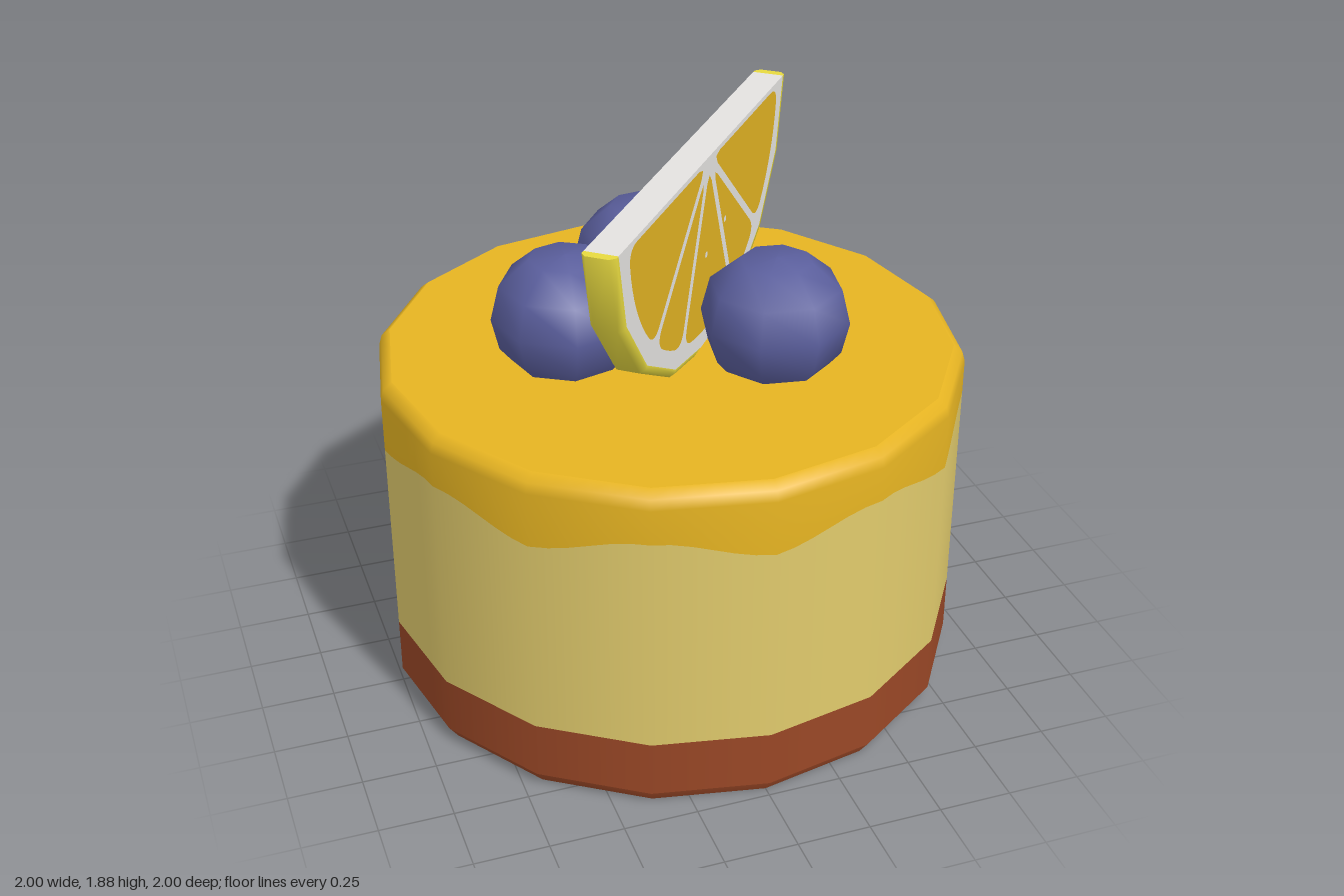
import * as THREE from 'three';

const paint = (name, color) => {
  const m = new THREE.MeshStandardMaterial({ color });
  m.name = name;
  return m;
};

function addMesh(parent, name, geometry, material) {
  const mesh = new THREE.Mesh(geometry, material);
  mesh.name = name;
  parent.add(mesh);
  return mesh;
}

// Wall on a 16-sided plan with smooth normals; rows are [radius, height(angle), normal tilt]
const SIDES = 16, SUB = 6;
function band(rows) {
  const pos = [], nor = [], idx = [];
  const count = SIDES * SUB;
  rows.forEach(([radius, height, tilt]) => {
    for (let i = 0; i <= count; i++) {
      const side = Math.floor(i / SUB), t = (i % SUB) / SUB;
      const a = side / SIDES * Math.PI * 2, b = (side + 1) / SIDES * Math.PI * 2;
      const x = THREE.MathUtils.lerp(Math.sin(a), Math.sin(b), t);
      const z = THREE.MathUtils.lerp(Math.cos(a), Math.cos(b), t);
      pos.push(x * radius, height(Math.atan2(x, z)), z * radius);
      const n = new THREE.Vector3(x, 0, z).setLength(Math.cos(tilt));
      nor.push(n.x, Math.sin(tilt), n.z);
    }
  });
  for (let j = 0; j < rows.length - 1; j++) {
    for (let i = 0; i < count; i++) {
      const a = j * (count + 1) + i, d = a + count + 1;
      idx.push(a, a + 1, d + 1, a, d + 1, d);
    }
  }
  const g = new THREE.BufferGeometry();
  g.setAttribute('position', new THREE.Float32BufferAttribute(pos, 3));
  g.setAttribute('normal', new THREE.Float32BufferAttribute(nor, 3));
  g.setIndex(idx);
  return g;
}

// Citrus segment between two angles, with softened outer corners
function segmentShape(a0, a1, outer) {
  const w = 0.016, soft = 0.07;
  const edge = (a, r, s) => [
    r * Math.cos(a) - s * w * Math.sin(a), -(r * Math.sin(a) + s * w * Math.cos(a))];
  const arc = (a) => [outer * Math.cos(a), -outer * Math.sin(a)];
  const mid = (a0 + a1) / 2, tip = w / Math.sin((a1 - a0) / 2) + 0.03;
  const da = soft / outer + w / outer;
  const s = new THREE.Shape();
  s.moveTo(tip * Math.cos(mid), -tip * Math.sin(mid));
  s.lineTo(...edge(a0, tip + 0.03, 1));
  s.lineTo(...edge(a0, outer - soft, 1));
  s.quadraticCurveTo(...edge(a0, outer, 1), ...arc(a0 + da));
  for (let i = 1; i <= 8; i++) s.lineTo(...arc(THREE.MathUtils.lerp(a0 + da, a1 - da, i / 8)));
  s.quadraticCurveTo(...edge(a1, outer, -1), ...edge(a1, outer - soft, -1));
  s.lineTo(...edge(a1, tip + 0.03, -1));
  s.closePath();
  return s;
}

export function createModel() {
  const model = new THREE.Group();
  model.name = 'lemonCheesecake';
  const crust = paint('biscuit brown', 0x994726);
  const cream = paint('cream', 0xe0ca6c);
  const glaze = paint('lemon glaze', 0xe6b422);
  const flesh = paint('lemon flesh', 0xe0b222);
  const pithWhite = paint('pith white', 0xe4e2e0);
  const peel = paint('peel yellow', 0xe8da40);
  const blue = paint('blueberry', 0x5a5e9c);

  // Cake layers
  const cake = new THREE.Group();
  cake.name = 'cake';
  model.add(cake);
  const at = (y) => () => y;
  const drip = (a) => 0.985 - 0.035 * Math.cos(8 * a);
  addMesh(cake, 'crustBevel', band([[0.965, at(0), -0.5], [1, at(0.05), -0.35]]), crust);
  addMesh(cake, 'crust', band([[1, at(0.05), 0], [1, at(0.25), 0]]), crust);
  addMesh(cake, 'filling', band([[1, at(0.25), 0], [1, drip, 0]]), cream);
  addMesh(cake, 'glazeSide', band([
    [1, drip, 0], [1, at(1.14), 0.05], [0.99, at(1.175), 0.6], [0.96, at(1.2), 1.3]]), glaze);
  const disc = new THREE.CircleGeometry(1, SIDES).rotateX(-Math.PI / 2);
  const top = addMesh(cake, 'glazeTop', disc, glaze);
  top.scale.set(0.96, 1, 0.96);
  top.position.y = 1.2;
  const bottom = addMesh(cake, 'crustBottom', disc, crust);
  bottom.scale.set(0.965, 1, 0.965);
  bottom.rotation.x = Math.PI;

  // Lemon slice standing in the top
  const slice = new THREE.Group();
  slice.name = 'lemonSlice';
  slice.position.set(0.073, 1.865, 0.018);
  slice.rotation.set(0, 0.891, -0.013);
  slice.scale.y = 0.833;
  model.add(slice);

  const half = new THREE.Shape();
  for (let i = 0; i <= 8; i++) {
    const a = Math.PI + i / 8 * Math.PI;
    half[i ? 'lineTo' : 'moveTo'](0.81 * Math.cos(a), 0.81 * Math.sin(a));
  }
  const pithGeo = new THREE.ExtrudeGeometry(half, { depth: 0.11, bevelEnabled: false });
  addMesh(slice, 'pith', pithGeo.translate(0, 0, -0.055), pithWhite);

  const section = [[0.81, -0.055], [0.825, -0.055], [0.843, -0.038],
    [0.843, 0.038], [0.825, 0.055], [0.81, 0.055]].map((p) => new THREE.Vector2(...p));
  const rind = new THREE.LatheGeometry(section, 8, -Math.PI / 2, Math.PI);
  addMesh(slice, 'rind', rind.rotateX(Math.PI / 2), peel);
  const rindEnd = new THREE.ShapeGeometry(new THREE.Shape(section)).rotateX(-Math.PI / 2);
  for (const turn of [0, Math.PI]) addMesh(slice, 'rindEnd', rindEnd, peel).rotation.y = turn;

  // Segments and pale specks on both cut faces
  const spokes = [0, 46, 70, 110, 134, 180].map(THREE.MathUtils.degToRad);
  const shapes = spokes.slice(1).map((a, i) => segmentShape(spokes[i], a, 0.73));
  const fleshGeo = new THREE.ShapeGeometry(shapes);
  const speckGeo = new THREE.CircleGeometry(0.013, 8);
  for (const turn of [0, Math.PI]) {
    const face = new THREE.Group();
    face.name = 'cutFace';
    face.rotation.y = turn;
    slice.add(face);
    addMesh(face, 'segments', fleshGeo, flesh).position.z = 0.058;
    for (const [x, y] of [[0.16, -0.34], [-0.03, -0.4]]) {
      addMesh(face, 'speck', speckGeo, pithWhite).position.set(x, y, 0.061);
    }
  }

  // Blueberries
  const profile = [[0, -0.24], [0.14, -0.2], [0.225, -0.1], [0.25, 0.01],
    [0.22, 0.13], [0.12, 0.215], [0, 0.225]].map((p) => new THREE.Vector2(...p));
  const berryGeo = new THREE.LatheGeometry(profile, 8);
  for (const [x, z, turn] of [[0.28, 0.25, 13], [0.015, -0.305, 30], [-0.365, 0.005, 37]]) {
    const berry = addMesh(model, 'blueberry', berryGeo, blue);
    berry.position.set(x, 1.345, z);
    berry.rotation.y = THREE.MathUtils.degToRad(turn);
  }
  return model;
}
